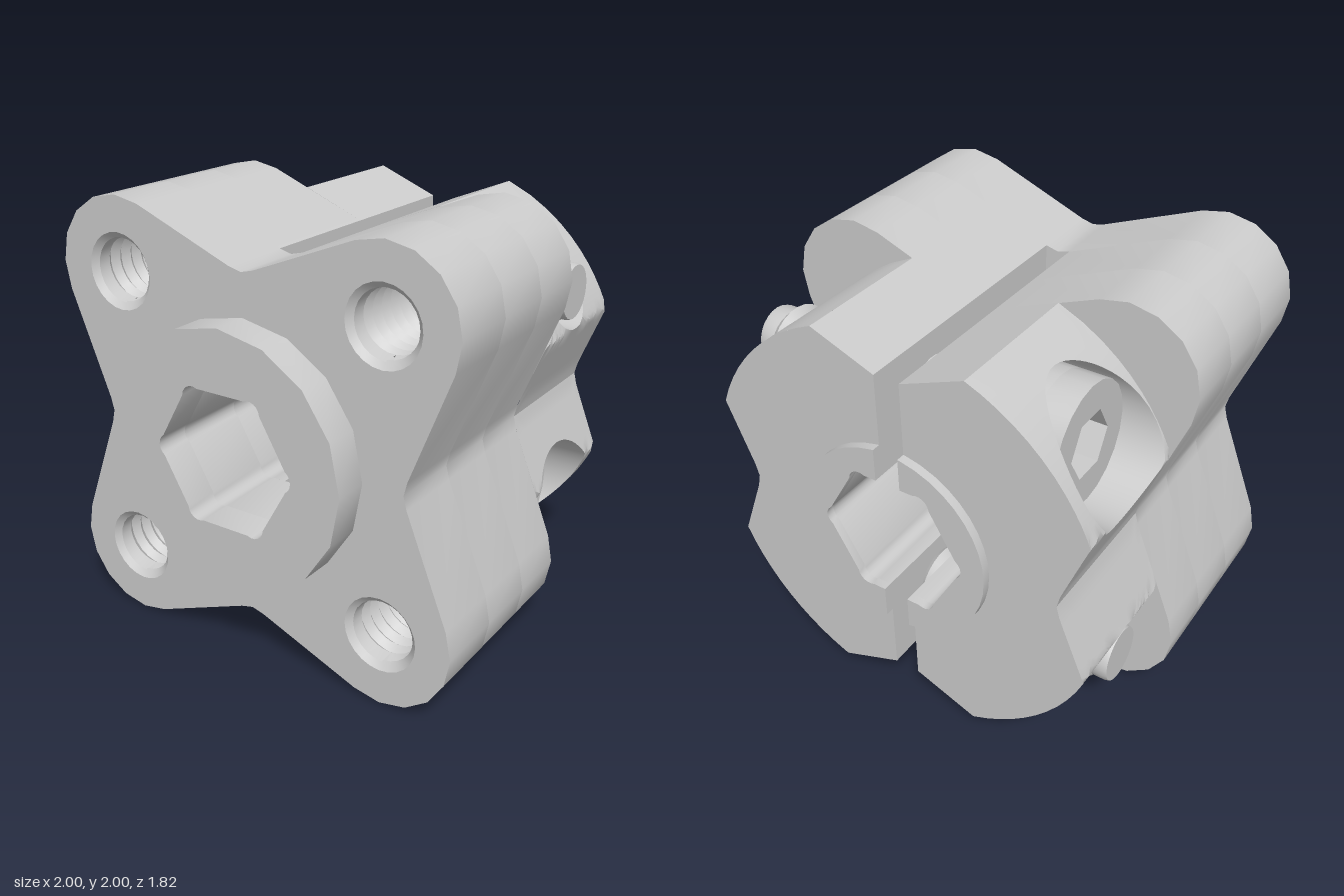
import * as THREE from 'three';
import { toCreasedNormals } from 'three/addons/utils/BufferGeometryUtils.js';

const { sin, cos, abs, sqrt, min, PI } = Math;
const grey = new THREE.MeshStandardMaterial({ color: 0xcccccc });
const greyDouble = new THREE.MeshStandardMaterial({ color: 0xcccccc, side: THREE.DoubleSide });
const V = (x, y) => new THREE.Vector2(x, y);

const SLOT = 0.06;         // half width of the clamping slot
const LOBE = 0.667;        // lobe and tapped hole offset from the axis
const CLAMP_R = 0.974;     // turned radius of the clamp collar
const SCREW_Y = 0.525, SCREW_Z = -0.505;

function mesh(name, geometry, material = grey) {
  const m = new THREE.Mesh(toCreasedNormals(geometry, 0.6), material);
  m.name = name;
  return m;
}

function circle(r, n, x = 0, y = 0) {
  return Array.from({ length: n }, (_, i) => V(x + r * cos(i * 2 * PI / n), y + r * sin(i * 2 * PI / n)));
}

// Repeat the points of one quadrant four times around the axis
function fourfold(points) {
  return [0, 1, 2, 3].flatMap(q => points.map(p => p.clone().rotateAround(V(0, 0), q * PI / 2)));
}

// Four-lobed flange outline
function starOutline() {
  const pts = [V(0.77, 0), V(0.785, 0.06)];
  for (let i = 0; i <= 6; i++) {
    const a = (-22 + 134 * i / 6) * PI / 180;
    pts.push(V(LOBE + 0.333 * cos(a), LOBE + 0.333 * sin(a)));
  }
  pts.push(V(0.06, 0.785));
  return fourfold(pts);
}

// Same outline with its lobes turned down to a circle
function clampOutline() {
  const pts = [V(0.77, 0), V(0.785, 0.06)];
  const a0 = Math.atan2(0.36, 0.905);
  for (let i = 0; i <= 10; i++) {
    const a = a0 + (PI / 2 - 2 * a0) * i / 10;
    pts.push(V(CLAMP_R * cos(a), CLAMP_R * sin(a)));
  }
  pts.push(V(0.06, 0.785));
  return fourfold(pts);
}

// Outer side of the clamp: x at a given height
function clampSide(y) {
  const h = abs(y);
  if (h < 0.06) return 0.77 + 0.25 * h;
  if (h < 0.36) return 0.785 + 0.4 * (h - 0.06);
  return sqrt(CLAMP_R * CLAMP_R - h * h);
}

// Hexagonal bore with rounded corner reliefs
function hexBore() {
  const pts = [];
  for (let k = 0; k < 6; k++) {
    const A = k * PI / 3;
    for (let i = 0; i <= 6; i++) {
      const a = A + (-57 + 19 * i) * PI / 180;
      pts.push(V(0.29 * cos(A) + 0.055 * cos(a), 0.29 * sin(A) + 0.055 * sin(a)));
    }
  }
  return pts;
}

// Part of an outline on the +x side of the slot, joined to the bore
function halfOutline(outer, slotY) {
  const side = pts => pts.filter(p => p.x > SLOT + 0.001)
    .sort((p, q) => Math.atan2(p.y, p.x) - Math.atan2(q.y, q.x));
  return [V(SLOT, -slotY), ...side(outer), V(SLOT, slotY),
    V(SLOT, 0.3), ...side(hexBore()).reverse(), V(SLOT, -0.3)];
}

function slab(outline, holes, z0, z1) {
  const shape = new THREE.Shape(outline);
  shape.holes = holes.map(h => new THREE.Path(h));
  return new THREE.ExtrudeGeometry(shape, { depth: z1 - z0, bevelEnabled: false }).translate(0, 0, z0);
}

// Remove the outer side walls, which the bored side panels replace
function openSide(geometry) {
  const src = geometry.toNonIndexed ? (geometry.index ? geometry.toNonIndexed() : geometry) : geometry;
  const p = src.attributes.position, keep = [];
  for (let t = 0; t < p.count; t += 3) {
    const ids = [t, t + 1, t + 2];
    const flat = ids.every(i => abs(p.getZ(i) - p.getZ(t)) < 1e-5);
    const outer = ids.every(i => p.getX(i) > 0.355 && Math.hypot(p.getX(i), p.getY(i)) > 0.7);
    if (flat || !outer) ids.forEach(i => keep.push(p.getX(i), p.getY(i), p.getZ(i)));
  }
  const g = new THREE.BufferGeometry();
  g.setAttribute('position', new THREE.Float32BufferAttribute(keep, 3));
  return g;
}

// Curved side panel with a round bore: floor, wall, then rings out to a rectangle
function boredSide(y0, y1, yc, r, floorX) {
  const z0 = -0.87, z1 = -0.2, m = 16, rows = 9;
  const corners = [[y0, z0], [y1, z0], [y1, z1], [y0, z1]];
  const rim = corners.flatMap((a, e) => {
    const b = corners[(e + 1) % 4];
    return Array.from({ length: m }, (_, i) => [a[0] + (b[0] - a[0]) * i / m, a[1] + (b[1] - a[1]) * i / m]);
  });
  const pos = [], index = [], n = rim.length;
  for (let k = -2; k <= rows; k++) {
    for (const [y, z] of rim) {
      const d = Math.hypot(y - yc, z - SCREW_Z);
      const cy = yc + r * (y - yc) / d, cz = SCREW_Z + r * (z - SCREW_Z) / d;
      if (k === -2) pos.push(floorX, yc, SCREW_Z);
      else if (k === -1) pos.push(floorX, cy, cz);
      else {
        const t = k / rows, py = cy + (y - cy) * t;
        pos.push(clampSide(py), py, cz + (z - cz) * t);
      }
    }
  }
  for (let k = 0; k < rows + 2; k++) {
    for (let i = 0; i < n; i++) {
      const j = (i + 1) % n, a = k * n + i, b = a + n, c = (k + 1) * n + j, d = k * n + j;
      if (k > 0) index.push(a, b, c, a, c, d);
      else index.push(a, b, c);
    }
  }
  const g = new THREE.BufferGeometry();
  g.setAttribute('position', new THREE.Float32BufferAttribute(pos, 3));
  g.setIndex(index);
  return g;
}

// Turned profile with a helical thread between its two end profiles
function threaded(start, h0, h1, turns, root, peak, end) {
  const pitch = (h1 - h0) / (turns + 1), seg = 24;
  const pts = start.map(p => V(...p));
  for (let i = 0; i <= 2 * turns; i++) pts.push(V(i % 2 ? peak : root, h0 + pitch * i / 2));
  end.forEach(p => pts.push(V(...p)));
  const g = new THREE.LatheGeometry(pts, seg), p = g.attributes.position;
  for (let i = 0; i < p.count; i++) {
    const j = i % pts.length;
    if (j >= start.length && j < pts.length - end.length) {
      p.setY(i, p.getY(i) + pitch * Math.floor(i / pts.length) / seg);
    }
  }
  return g;
}

// Socket-head clamp screw, head towards +x
function clampScrew() {
  const screw = new THREE.Group();
  screw.name = 'clampScrew';
  const rim = slab(circle(0.27, 20), [circle(0.145, 6)], 0.55, 0.69).rotateY(PI / 2);
  const base = slab(circle(0.27, 20), [], 0.4, 0.55).rotateY(PI / 2);
  const shaft = threaded([[0.15, 0.42], [0.13, 0.36]], 0.35, -0.86, 15, 0.13, 0.165, [[0.13, -0.87], [0.125, -0.89], [0, -0.89]]);
  screw.add(mesh('screwHead', rim), mesh('screwHeadBase', base),
    mesh('screwThread', shaft.rotateZ(-PI / 2), greyDouble));
  screw.position.set(0, -SCREW_Y, SCREW_Z);
  return screw;
}

// Everything on the +x side of the slot
function clampHalf() {
  const half = new THREE.Group();
  half.name = 'clampHalf';
  const star = halfOutline(starOutline(), 0.785);
  const holes = [-LOBE, LOBE].map(y => circle(0.172, 24, LOBE, y));
  const bossR = 0.457;
  half.add(
    mesh('flangeMiddle', slab(star, holes, 0.1, 0.415)),
    mesh('flangeRear', slab(star, [], -0.2, 0.1)),
    mesh('clampBody', openSide(slab(halfOutline(clampOutline(), 0.785), [], -0.87, -0.2))),
    mesh('counterboredSide', boredSide(-0.905, 0, -SCREW_Y, 0.3, 0.4)),
    mesh('tappedSide', boredSide(0, 0.905, SCREW_Y, 0.17, 0.55)),
    mesh('rearBoss', slab(halfOutline(circle(bossR, 40), sqrt(bossR * bossR - SLOT * SLOT)), [], -0.91, -0.87)),
    clampScrew());
  return half;
}

export function createModel() {
  const model = new THREE.Group();
  model.name = 'clampingHub';
  const hub = new THREE.Group();
  hub.name = 'hub';
  hub.position.y = 1;
  model.add(hub);

  // Unslotted front of the flange and its locating boss
  const centres = [[1, 1], [-1, 1], [-1, -1], [1, -1]].map(([x, y]) => [x * LOBE, y * LOBE]);
  const holes = centres.map(([x, y]) => circle(0.172, 24, x, y));
  hub.add(mesh('flangeFront', slab(starOutline(), [hexBore(), ...holes], 0.415, 0.75)));
  hub.add(mesh('frontBoss', slab(circle(0.58, 16), [hexBore()], 0.75, 0.91)));

  // Blind tapped holes
  for (const [x, y] of centres) {
    const liner = threaded([[0.172, 0.75], [0.145, 0.725]], 0.72, 0.2, 7, 0.138, 0.165, [[0.138, 0.195], [0, 0.115]]);
    const hole = mesh('tappedHole', liner.rotateX(PI / 2), greyDouble);
    hole.position.set(x, y, 0);
    hub.add(hole);
  }

  // Two identical halves, half a turn apart
  for (const turn of [0, PI]) {
    const half = clampHalf();
    half.rotation.z = turn;
    hub.add(half);
  }
  return model;
}
